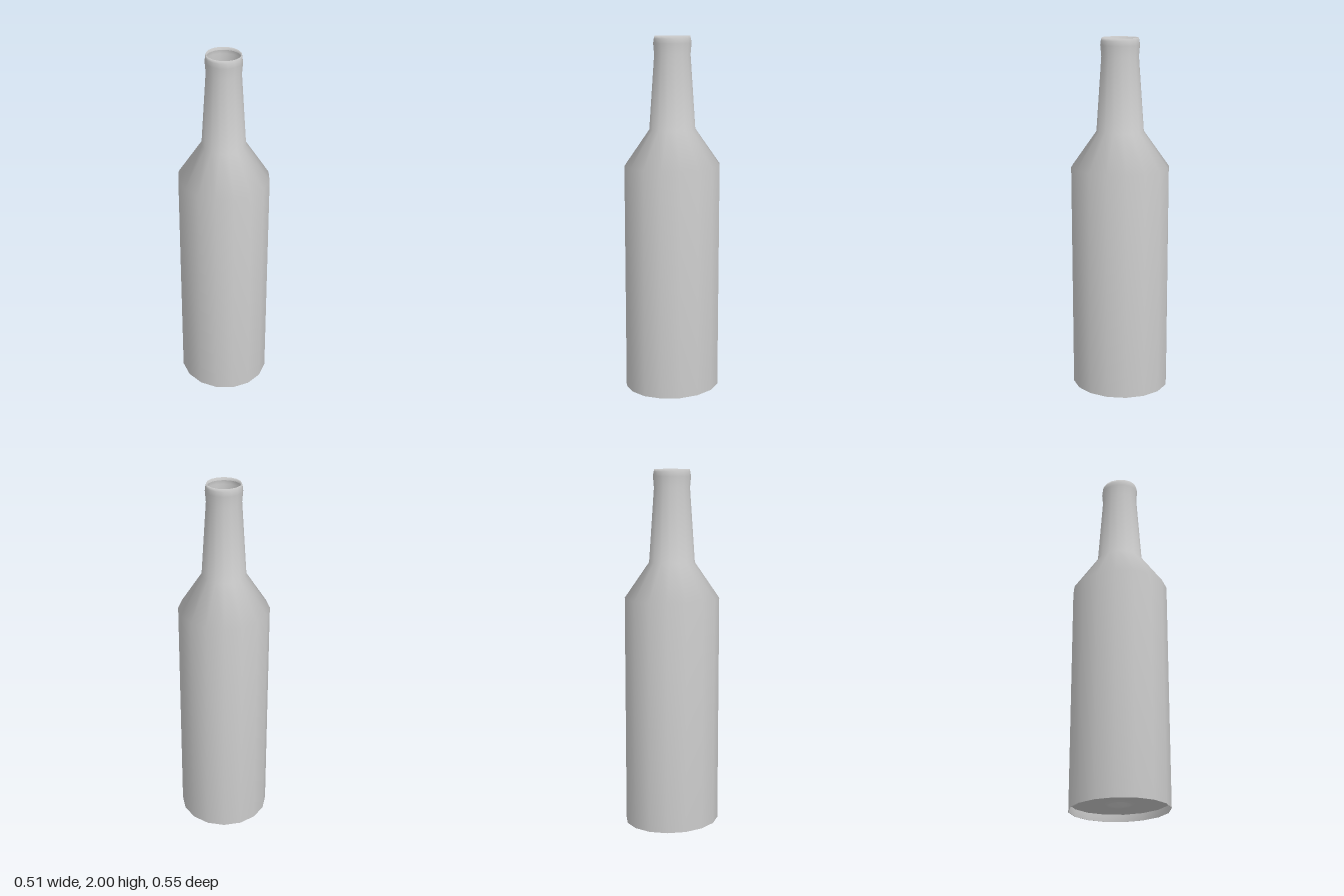
import * as THREE from 'three';

const SIDES = 16;
const HALF_WIDTH = 0.2535, HALF_DEPTH = 0.277;

export function createModel() {
  const bottle = new THREE.Group();
  bottle.name = 'bottle';
  const material = new THREE.MeshStandardMaterial({ color: 0xcccccc, side: THREE.DoubleSide });

  // Revolve a profile of [radius, height], then stretch it to the oval plan
  const revolve = (name, profile) => {
    const points = profile.map(([r, y]) => new THREE.Vector2(r, y));
    const geometry = new THREE.LatheGeometry(points, SIDES);
    geometry.scale(1, 1, HALF_DEPTH / HALF_WIDTH);
    const mesh = new THREE.Mesh(geometry, material);
    mesh.name = name;
    bottle.add(mesh);
  };

  // Straight body, sloping shoulder, tapering neck and rolled lip
  revolve('bodyAndNeck', [
    [HALF_WIDTH, 0], [HALF_WIDTH, 1.29], [0.122, 1.49], [0.095, 1.9],
    [0.1, 1.96], [0.097, 1.985], [0.093, 2], [0.089, 1.985],
  ]);

  // Short inner wall of the foot
  revolve('footRim', [[HALF_WIDTH - 0.003, 0.04], [HALF_WIDTH - 0.003, 0], [HALF_WIDTH, 0]]);

  // Recessed base with a small ring and a central dimple
  revolve('base', [
    [0, 0.07], [0.02, 0.06], [0.05, 0.03], [0.065, 0.027], [0.085, 0.04], [HALF_WIDTH - 0.003, 0.04],
  ]);

  return bottle;
}
